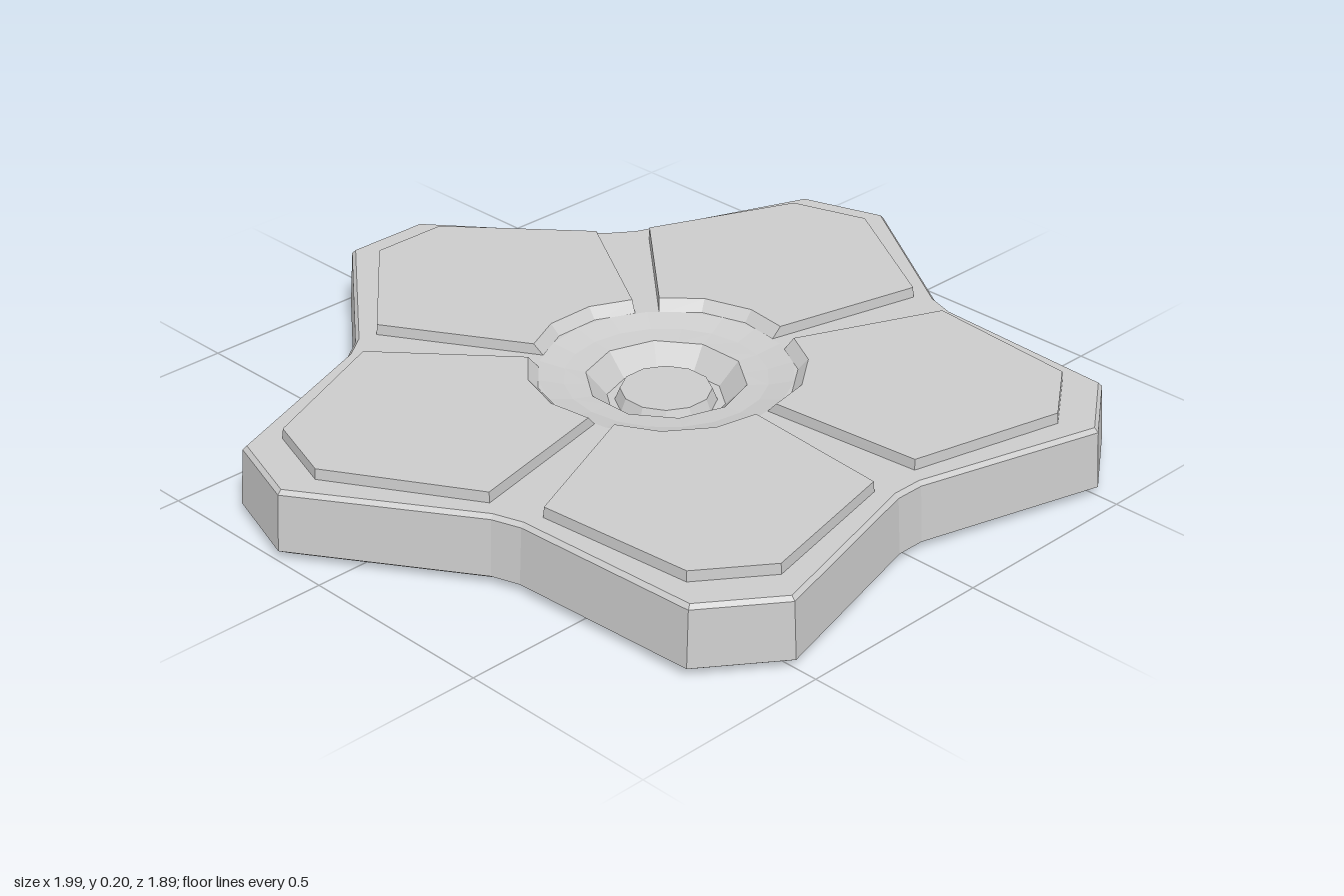
import * as THREE from 'three';
import { mergeGeometries } from 'three/addons/utils/BufferGeometryUtils.js';

const STEP = Math.PI * 2 / 5;
const V = (x, y) => new THREE.Vector2(x, y);
const turn = (p, a) => p.clone().rotateAround(V(0, 0), a);

// Plan outlines are counter-clockwise in (x, -z); move each corner inwards by d
function inset(pts, d) {
  const n = pts.length;
  return pts.map((p, i) => {
    const a = p.clone().sub(pts[(i + n - 1) % n]).normalize();
    const b = pts[(i + 1) % n].clone().sub(p).normalize();
    const na = V(-a.y, a.x), nb = V(-b.y, b.x);
    const m = na.clone().add(nb);
    return p.clone().addScaledVector(m, d / (1 + na.dot(nb)));
  });
}

// Walls through a list of [outline, height] levels
function loft(levels) {
  const pos = [];
  const put = ([pts, y], j) => {
    const p = pts[j % pts.length];
    pos.push(p.x, y, -p.y);
  };
  for (let k = 0; k + 1 < levels.length; k++) {
    const a = levels[k], b = levels[k + 1];
    for (let j = 0; j < a[0].length; j++) {
      put(a, j); put(a, j + 1); put(b, j + 1);
      put(a, j); put(b, j + 1); put(b, j);
    }
  }
  const g = new THREE.BufferGeometry();
  g.setAttribute('position', new THREE.Float32BufferAttribute(pos, 3));
  g.computeVertexNormals();
  return g;
}

// Flat face at height y, facing up or down, with an optional hole
function cap(pts, y, up = true, hole) {
  const shape = new THREE.Shape(up ? pts : pts.map(p => V(p.x, -p.y)));
  if (hole) shape.holes.push(new THREE.Path(hole));
  const g = new THREE.ShapeGeometry(shape).toNonIndexed();
  g.rotateX(up ? -Math.PI / 2 : Math.PI / 2).translate(0, y, 0);
  g.deleteAttribute('uv');
  return g;
}

// Twenty-point ring; a decagon keeps every second point on the middle of an edge
function ring(r, decagon = false) {
  return Array.from({ length: 20 }, (_, i) => {
    const a = Math.PI / 2 + i * Math.PI / 10;
    const k = decagon && i % 2 ? Math.cos(Math.PI / 10) : 1;
    return V(Math.cos(a) * r * k, Math.sin(a) * r * k);
  });
}

export function createModel() {
  const group = new THREE.Group();
  const mat = new THREE.MeshStandardMaterial({ color: 0xcccccc, flatShading: true });
  const add = (name, geos) => {
    const mesh = new THREE.Mesh(mergeGeometries(geos), mat);
    mesh.name = name;
    mesh.position.z = 0.06;
    group.add(mesh);
    return mesh;
  };

  // Five-pointed base with blunt tips and softened notches
  const star = [];
  for (let i = 0; i < 5; i++) {
    star.push(turn(V(0.115, 1.01), i * STEP), turn(V(-0.115, 1.01), i * STEP));
    for (const s of [0.036, -0.036]) star.push(turn(V(s, 0.76), (i + 0.5) * STEP));
  }
  const foot = inset(star, 0.032), rim = inset(star, 0.018);
  const rimTop = ring(0.3);
  add('starBase', [
    loft([[foot, 0], [star, 0.022], [inset(star, 0.009), 0.16], [rim, 0.17]]),
    cap(foot, 0, false),
    cap(rim, 0.17, true, rimTop),
  ]);

  // Shallow dish stepping into a ten-sided pit
  const pitFloor = ring(0.14, true);
  add('hubDish', [
    loft([[rimTop, 0.17], [ring(0.24), 0.155], [ring(0.19, true), 0.15], [pitFloor, 0.095]]),
    cap(pitFloor, 0.095),
  ]);

  // Bevelled button in the pit
  const button = new THREE.CylinderGeometry(0.108, 0.12, 0.03, 12);
  button.rotateY(Math.PI / 12).translate(0, 0.11, 0);
  add('centreButton', [button]);

  // Raised petal panels, sloping towards the hub
  const petal = inner => {
    const half = [V(0.1, 0.91), V(0.362, 0.61), V(0.162, 0.275), V(0.062, 0.322)];
    half[2].multiplyScalar(inner);
    half[3].multiplyScalar(inner);
    const left = half.map(p => V(-p.x, p.y));
    return [...left, ...half.reverse()];
  };
  const top = inset(petal(1), 0.002), bottom = petal(0.92);
  for (let i = 0; i < 5; i++) {
    const panel = add('petalPanel' + (i + 1), [
      loft([[bottom, 0.165], [top, 0.196]]),
      cap(top, 0.196),
    ]);
    panel.rotation.y = i * STEP;
  }
  return group;
}
